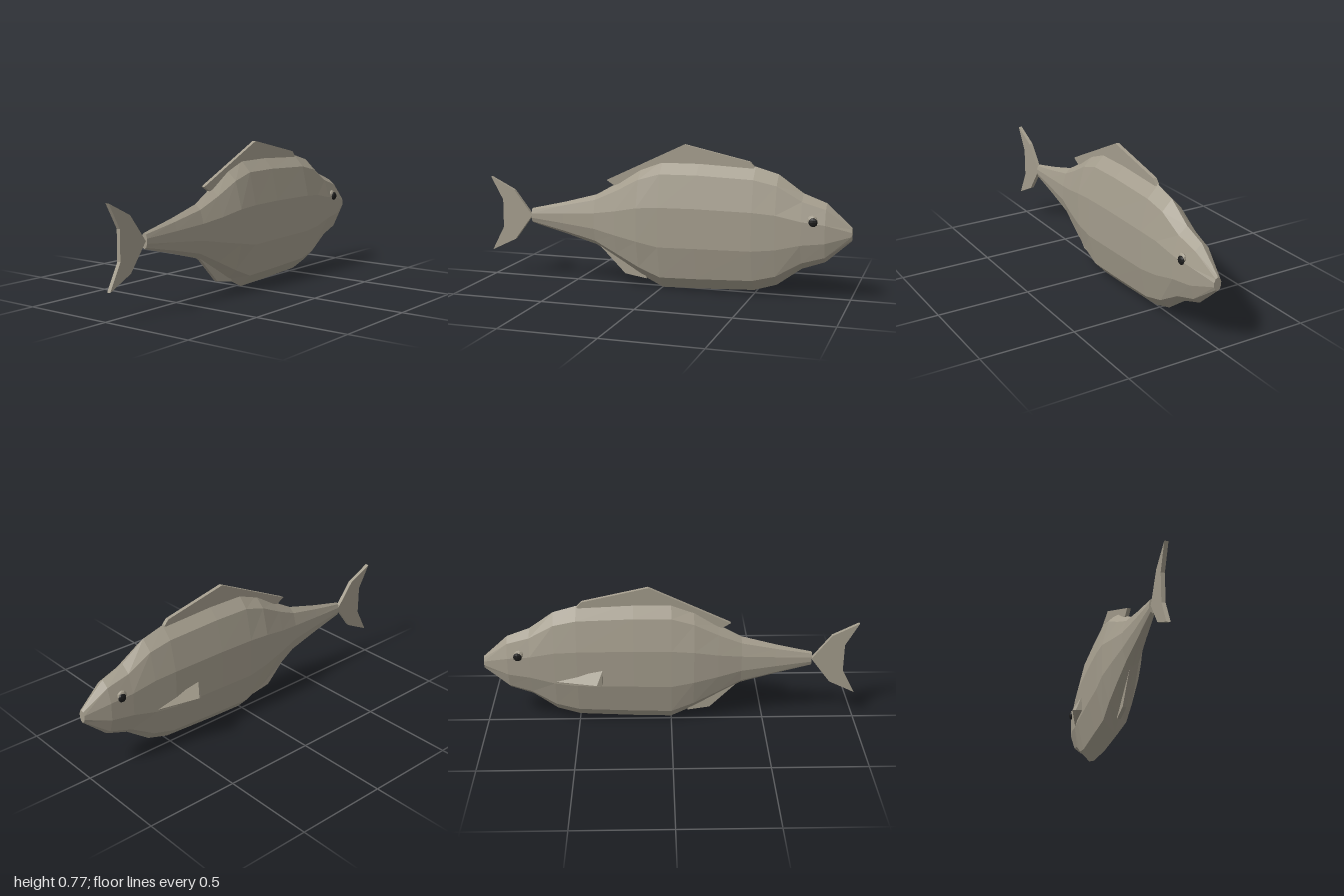
import * as THREE from 'three';

const MID = 0.025; // z of the fish's plane of symmetry

// Triangulates loops of equal point count (ordered along +x) into a capped skin
function loft(rings) {
  const n = rings[0].length, pos = rings.flat(2), idx = [];
  for (let i = 0; i < rings.length - 1; i++) {
    for (let j = 0; j < n; j++) {
      const a = i * n + j, b = i * n + (j + 1) % n;
      idx.push(a, b, a + n, b, b + n, a + n);
    }
  }
  const last = (rings.length - 1) * n;
  for (let j = 1; j < n - 1; j++) {
    idx.push(0, j + 1, j, last, last + j, last + j + 1);
  }
  const g = new THREE.BufferGeometry();
  g.setAttribute('position', new THREE.Float32BufferAttribute(pos, 3));
  g.setIndex(idx);
  g.computeVertexNormals();
  return g;
}

// Flat fin cut from an outline in the plane of symmetry
function finGeometry(points, thickness = 0.02) {
  const shape = new THREE.Shape(points.map(p => new THREE.Vector2(...p)));
  const g = new THREE.ExtrudeGeometry(shape, { depth: thickness, bevelEnabled: false });
  return g.translate(0, 0, MID - thickness / 2);
}

export function createModel() {
  const fish = new THREE.Group();
  fish.name = 'fish';
  const skin = new THREE.MeshStandardMaterial({ name: 'skin', color: 0xa39c8c, flatShading: true });
  const black = new THREE.MeshStandardMaterial({ name: 'eyeBlack', color: 0x1c1c1c, flatShading: true });
  const add = (name, geometry, material = skin) => {
    const mesh = new THREE.Mesh(geometry, material);
    mesh.name = name;
    fish.add(mesh);
    return mesh;
  };

  // Body stations: x, top, bottom, half width
  const stations = [
    [-0.755, 0.395, 0.315, 0.018], [-0.56, 0.44, 0.265, 0.034], [-0.375, 0.49, 0.213, 0.052],
    [-0.25, 0.56, 0.14, 0.076], [-0.12, 0.643, 0.062, 0.097], [0, 0.688, 0.004, 0.1],
    [0.2, 0.69, 0.01, 0.1], [0.5, 0.676, 0.025, 0.097], [0.62, 0.642, 0.062, 0.088],
    [0.75, 0.55, 0.157, 0.077], [0.87, 0.505, 0.2, 0.062], [1, 0.387, 0.317, 0.02],
  ];
  add('body', loft(stations.map(([x, top, bottom, w]) => {
    const ring = [];
    for (let j = 0; j < 10; j++) {
      const a = j * Math.PI / 5;
      ring.push([x, (top + bottom) / 2 + Math.cos(a) * (top - bottom) / 2,
        MID + Math.sin(a) * w / Math.sin(Math.PI * 0.4)]);
    }
    return ring;
  })));

  // Fins on the centre line
  add('dorsalFin', finGeometry([[-0.315, 0.572], [-0.27, 0.545], [-0.12, 0.6], [0.45, 0.63],
    [0.495, 0.672], [0.47, 0.7], [0.12, 0.778]]));
  add('tailFin', finGeometry([[-0.755, 0.355], [-0.86, 0.492], [-1, 0.562], [-0.93, 0.435],
    [-0.93, 0.28], [-1, 0.147], [-0.86, 0.215]]));
  add('analFin', finGeometry([[-0.36, 0.215], [-0.21, 0.065], [-0.09, 0.046], [-0.1, 0.15], [-0.25, 0.25]]));

  // Side fin: a wedge with its tip buried in the flank
  add('sideFin', loft([
    [[0.365, 0.345, -0.08], [0.365, 0.268, -0.07], [0.37, 0.268, -0.108], [0.395, 0.278, -0.123]],
    [[0.62, 0.28, -0.055], [0.62, 0.265, -0.055], [0.62, 0.265, -0.06], [0.62, 0.272, -0.062]],
  ])).material = Object.assign(skin.clone(), { name: 'finSkin', side: THREE.DoubleSide });

  // Eyes: a skin-coloured socket with a dark ball in front
  for (const s of [-1, 1]) {
    const socket = add('eyeSocket', new THREE.IcosahedronGeometry(0.027, 1));
    socket.position.set(0.806, 0.422, MID + s * 0.063);
    socket.scale.z = 0.55;
    const eye = add('eye', new THREE.SphereGeometry(0.023, 8, 6), black);
    eye.position.set(0.812, 0.415, MID + s * 0.074);
    eye.scale.z = 0.5;
  }
  return fish;
}
